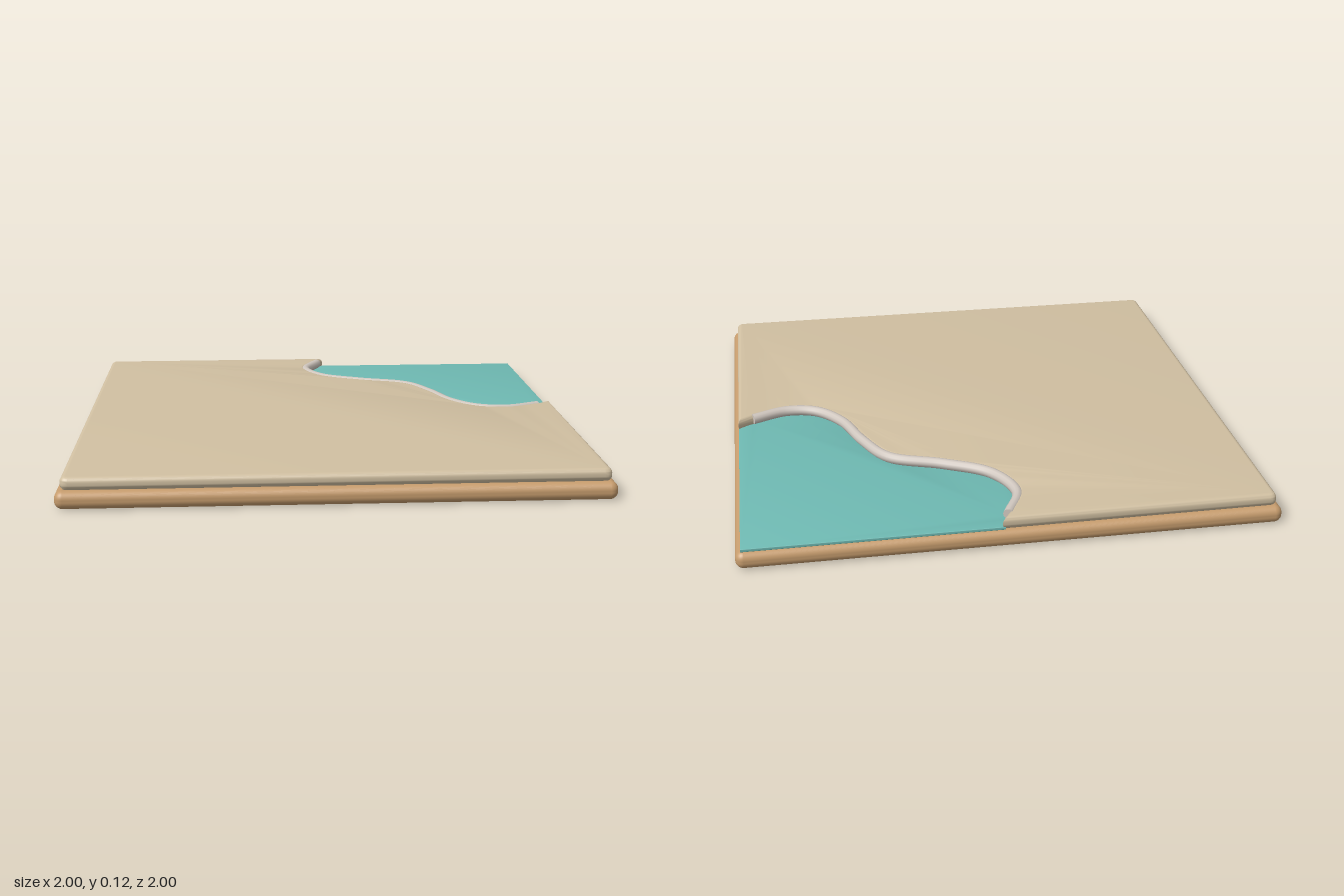
import * as THREE from 'three';
import { toCreasedNormals } from 'three/addons/utils/BufferGeometryUtils.js';
import { RoundedBoxGeometry } from 'three/addons/geometries/RoundedBoxGeometry.js';

const material = (name, color) => {
  const m = new THREE.MeshStandardMaterial({ color });
  m.name = name;
  return m;
};

export function createModel() {
  const model = new THREE.Group();
  const wood = material('wood', 0xc69c6d);
  const sand = material('sand', 0xd0bfa1);
  const water = material('water', 0x6fbab3);
  const stone = material('stone', 0xcfc6be);

  const add = (name, geometry, mat) => {
    const mesh = new THREE.Mesh(geometry, mat);
    mesh.name = name;
    model.add(mesh);
    return mesh;
  };

  // Slab outlines are drawn as (x, -z), then laid flat
  const slab = (shape, bottom, height, bevel) => {
    const g = new THREE.ExtrudeGeometry(shape, {
      depth: height - 2 * bevel, bevelThickness: bevel, bevelSize: bevel,
      bevelOffset: -bevel, bevelSegments: 6, curveSegments: 6,
    });
    g.rotateX(-Math.PI / 2);
    g.translate(0, bottom + bevel, 0);
    return toCreasedNormals(g, 0.6);
  };

  // Base board with rounded rim
  add('base', new RoundedBoxGeometry(2, 0.067, 2, 5, 0.03), wood).position.y = 0.0335;

  // Shoreline, from the back edge to the right edge
  const shore = new THREE.CatmullRomCurve3([
    [0.02, -0.93], [-0.04, -0.78], [0.03, -0.62], [0.2, -0.52], [0.4, -0.435],
    [0.49, -0.28], [0.56, -0.1], [0.66, 0.01], [0.78, 0.033], [0.92, -0.02],
  ].map(([x, z]) => new THREE.Vector3(x, 0.098, z)));
  const shorePoints = shore.getSpacedPoints(48).map((p) => new THREE.Vector2(p.x, -p.z));

  // Land slab with the pond bay cut out of its back corner
  const e = 0.98, r = 0.03;
  const land = new THREE.Shape();
  land.moveTo(-e + r, e);
  land.quadraticCurveTo(-e, e, -e, e - r);
  land.lineTo(-e, -e + r);
  land.quadraticCurveTo(-e, -e, -e + r, -e);
  land.lineTo(e - r, -e);
  land.quadraticCurveTo(e, -e, e, -e + r);
  land.lineTo(e, 0.06);
  for (const p of [...shorePoints].reverse()) land.lineTo(p.x, p.y);
  land.lineTo(0.05, e);
  add('land', slab(land, 0.065, 0.049, 0.02), sand);

  // Thin water sheet filling the bay
  const pond = new THREE.Shape();
  pond.moveTo(e, e);
  pond.lineTo(0.04, e);
  for (const p of shorePoints) pond.lineTo(p.x, p.y);
  pond.lineTo(e, 0.05);
  add('water', slab(pond, 0.065, 0.012, 0.002), water);

  // Rounded edging that follows the shoreline
  const edging = material('stoneEdging', 0xcfc6be);
  stone.side = THREE.DoubleSide;
  add('shoreEdging', new THREE.TubeGeometry(shore, 80, 0.021, 12, false), stone);

  // End discs close the edging
  [[0, -1], [1, 1]].forEach(([t, sign]) => {
    const cap = add('shoreEdgingEnd', new THREE.CircleGeometry(0.021, 12), stone);
    cap.position.copy(shore.getPointAt(t));
    cap.lookAt(cap.position.clone().addScaledVector(shore.getTangentAt(t), sign));
  });

  return model;
}
